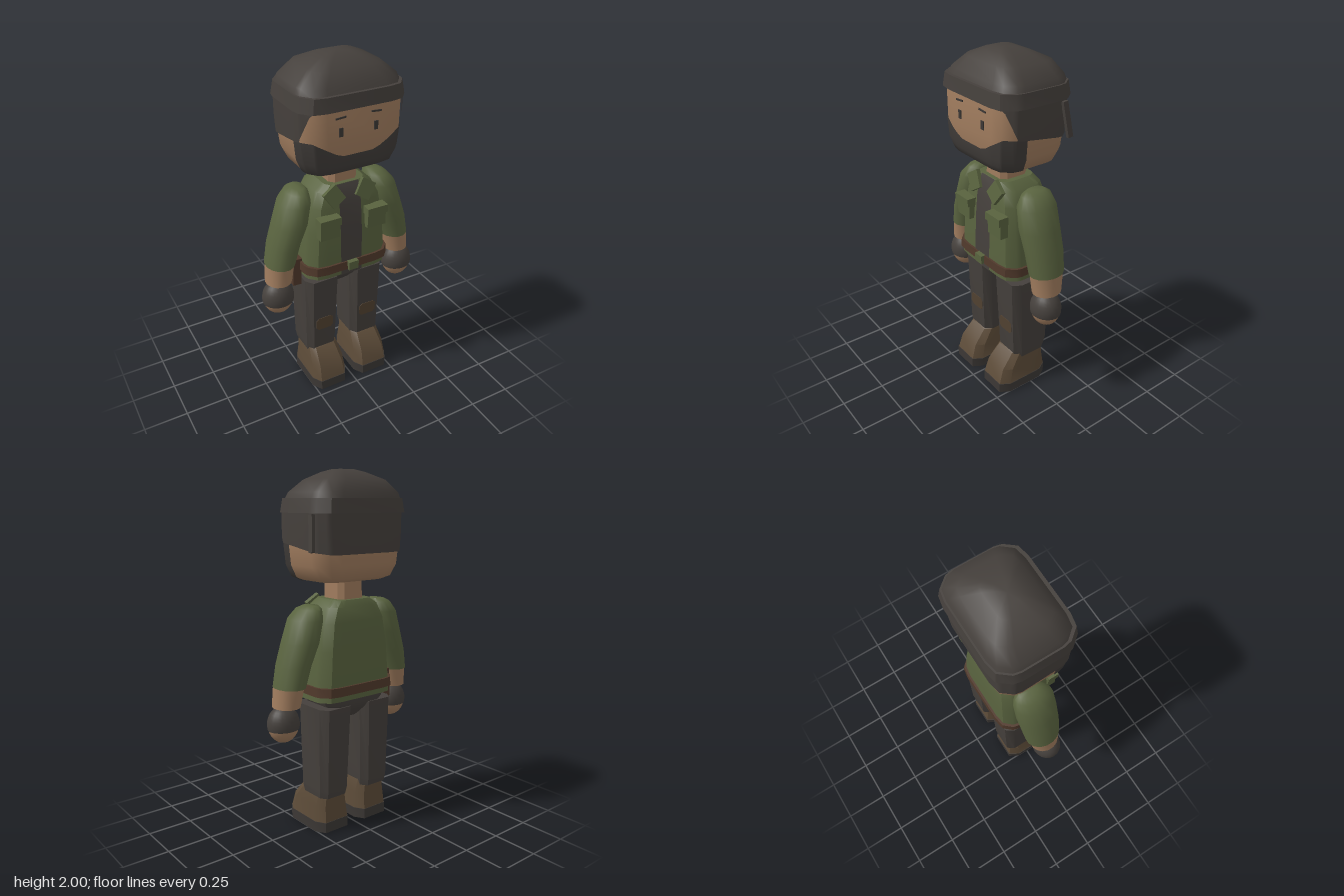
import * as THREE from 'three';
import { toCreasedNormals } from 'three/addons/utils/BufferGeometryUtils.js';

const mat = (name, color) => Object.assign(new THREE.MeshStandardMaterial({ color }), { name });
const M = {
  cloth: mat('charcoal cloth', 0x45403c),
  sole: mat('dark sole', 0x3c3835),
  beard: mat('beard', 0x403c39),
  skin: mat('skin', 0xa07c5e),
  green: mat('olive green', 0x59633f),
  boot: mat('boot brown', 0x5c4b38),
  belt: mat('belt brown', 0x50392b),
  patch: mat('patch brown', 0x524231),
};

// Quarter cross-sections, from the +x side round to the +z side
const SOFT = [[1, 0.5], [0.97, 0.68], [0.81, 0.94], [0.58, 1]];
const CHAMFER = [[1, 0.66], [0.7, 1]];
const ROUND = [11.25, 33.75, 56.25, 78.75].map((a) => [Math.cos(a * Math.PI / 180), Math.sin(a * Math.PI / 180)]);

// Point on the full section; t counts corners
function section(q, t) {
  const n = q.length, N = n * 4;
  const corner = (i) => {
    i = ((i % N) + N) % N;
    const k = Math.floor(i / n), j = i % n;
    const [x, z] = q[k % 2 ? n - 1 - j : j];
    return [k === 1 || k === 2 ? -x : x, k > 1 ? -z : z];
  };
  const i = Math.floor(t), f = t - i, a = corner(i), b = corner(i + 1);
  return [a[0] + (b[0] - a[0]) * f, a[1] + (b[1] - a[1]) * f];
}

// Surface from a point rule over two parameter lists
function grid(fn, us, vs, crease) {
  const pos = [], idx = [], w = vs.length;
  us.forEach((u) => vs.forEach((v) => pos.push(...fn(u, v))));
  for (let i = 0; i < us.length - 1; i++) {
    for (let j = 0; j < w - 1; j++) {
      const a = i * w + j, d = a + w;
      idx.push(a, a + 1, d + 1, a, d + 1, d);
    }
  }
  const g = new THREE.BufferGeometry();
  g.setAttribute('position', new THREE.Float32BufferAttribute(pos, 3));
  g.setIndex(idx);
  return toCreasedNormals(g, crease);
}

const range = (a, b, step) => Array.from({ length: Math.round((b - a) / step) + 1 }, (_, i) => a + i * step);

// Point on a ring [y, halfX, halfZ, centreX, centreZ]
function ringPoint(q, [y, hx, hz, cx = 0, cz = 0], t, off = 0, s = 1) {
  const [x, z] = section(q, t);
  return [cx + x * (hx + off) * s, y, cz + z * (hz + off) * s];
}

// Closed body through rings listed from bottom to top
function loft(rings, q, crease = 0.6) {
  const n = rings.length;
  return grid((t, v) => ringPoint(q, rings[Math.min(Math.max(v, 0), n - 1)], t, 0, v < 0 || v >= n ? 0 : 1),
    range(0, q.length * 4, 1), range(-1, n, 1), crease);
}

// Ring of a body at any height
function ringAt(rings, y) {
  let i = 0;
  while (i < rings.length - 2 && y > rings[i + 1][0]) i++;
  const a = rings[i], b = rings[i + 1];
  const f = Math.min(Math.max((y - a[0]) / (b[0] - a[0]), 0), 1);
  return [y, ...[1, 2, 3, 4].map((k) => a[k] + (b[k] - a[k]) * f)];
}

function add(parent, name, geo, material, x = 0, y = 0, z = 0) {
  const m = new THREE.Mesh(geo, material);
  m.name = name;
  m.position.set(x, y, z);
  parent.add(m);
  return m;
}
const box = (w, h, d) => new THREE.BoxGeometry(w, h, d);

function plate(points, depth) {
  const s = new THREE.Shape(points.map(([x, y]) => new THREE.Vector2(x, y)));
  return new THREE.ExtrudeGeometry(s, { depth, bevelEnabled: false });
}

const HEAD = [[1.415, 0.2, 0.145, 0, 0.01], [1.435, 0.25, 0.185, 0, 0.008], [1.5, 0.28, 0.205, 0, 0.006],
  [1.6, 0.292, 0.21, 0, 0.006], [1.77, 0.297, 0.211, 0, 0.004], [1.85, 0.285, 0.2, 0, 0]];
const TORSO = [[0.77, 0.255, 0.165, 0, -0.003], [0.86, 0.25, 0.163, 0, -0.003], [1.05, 0.235, 0.158, 0, -0.004],
  [1.2, 0.21, 0.146, 0, -0.006], [1.28, 0.17, 0.13, 0, -0.008], [1.315, 0.12, 0.112, 0, -0.006]];

function buildHead(root) {
  const head = new THREE.Group();
  head.name = 'head';
  root.add(head);
  add(head, 'face', loft(HEAD, SOFT, 1), M.skin);
  add(head, 'neck', loft([[1.27, 0.088, 0.088, 0, -0.005], [1.44, 0.085, 0.085, 0, -0.005]], CHAMFER), M.skin);

  // Beard wraps the jaw and dips below the mouth
  const beardTop = (x) => 1.53 + 0.09 * Math.min(Math.max((Math.abs(x) - 0.1) / 0.14, 0), 1);
  const heights = [1.411, 1.411, 1.435, 1.465, 1.5];
  add(head, 'beard', grid((t, v) => {
    const y = v < 5 ? heights[v] : beardTop(ringPoint(SOFT, ringAt(HEAD, 1.58), t)[0]);
    const p = ringPoint(SOFT, ringAt(HEAD, y), t, 0.005, v ? 1 : 0);
    p[2] = Math.max(p[2], 0.08);
    return p;
  }, [-0.12, ...range(0, 7, 0.125), 7.12], range(0, 5, 1), 1), M.beard);

  // Head wrap hangs from the cap round the sides and back
  const wrapLow = (z) => z > 0.14 ? 1.62 + 0.155 * Math.min((z - 0.14) / 0.055, 1) : 1.62 - 0.055 * (0.14 - z) / 0.35;
  add(head, 'headWrap', grid((t, v) => {
    const low = wrapLow(ringPoint(SOFT, ringAt(HEAD, 1.7), t)[2]);
    return ringPoint(SOFT, ringAt(HEAD, low + (1.785 - low) * v), t, 0.009);
  }, range(5, 18, 0.25), [0, 0.5, 1], 1), M.cloth);
  const tail = add(head, 'wrapTail', box(0.02, 0.19, 0.03), M.cloth, 0.317, 1.675, -0.145);
  tail.rotation.set(0.14, 0, 0.11);

  add(head, 'capBand', loft([[1.775, 0.31, 0.234], [1.85, 0.297, 0.225]], SOFT), M.cloth);
  add(head, 'capCrown', loft([[1.84, 0.292, 0.215, 0, -0.004], [1.88, 0.277, 0.2, 0, -0.008],
    [1.945, 0.2, 0.158, 0, -0.014], [1.985, 0.11, 0.085, 0, -0.005], [2, 0.055, 0.045, 0, 0]], SOFT, 0.8), M.cloth);

  for (const s of [1, -1]) {
    add(head, 'eye', box(0.022, 0.046, 0.006), M.sole, s * 0.1, 1.66, 0.217);
    add(head, 'eyebrow', box(0.058, 0.009, 0.006), M.sole, s * 0.1, 1.735, 0.217).rotation.z = -s * 0.08;
  }
}

function buildTorso(root) {
  const torso = new THREE.Group();
  torso.name = 'torso';
  root.add(torso);
  add(torso, 'jacket', loft(TORSO, SOFT), M.green);
  add(torso, 'shirt', grid((x, y) => [-x, y, ringPoint(SOFT, ringAt(TORSO, y), 3.5, 0.004)[2]],
    [-0.066, 0.066], TORSO.map((r) => r[0]), 0.6), M.cloth);
  add(torso, 'belt', loft([[0.803, 0.266, 0.178, 0, -0.003], [0.853, 0.263, 0.175, 0, -0.003]], SOFT), M.belt);
  add(torso, 'buckle', box(0.06, 0.05, 0.03), M.green, 0, 0.829, 0.178);
  add(torso, 'holster', box(0.05, 0.17, 0.11), M.belt, -0.28, 0.785, -0.01).rotation.z = -0.06;
  add(torso, 'hips', loft([[0.645, 0.03, 0.06, 0, -0.02], [0.7, 0.1, 0.11, 0, -0.02],
    [0.735, 0.2, 0.13, 0, -0.02], [0.79, 0.225, 0.14, 0, -0.015]], CHAMFER), M.cloth);
  for (const s of [1, -1]) {
    add(torso, 'pocket', box(0.115, 0.1, 0.05), M.green, s * 0.145, 1.09, 0.16);
    add(torso, 'pocketFlap', box(0.125, 0.045, 0.062), M.green, s * 0.145, 1.143, 0.167);
    const corners = [[0.03, 1.245], [0.105, 1.195], [0.16, 1.28], [0.085, 1.33]].map(([x, y]) => [s * x, y - 1.26]);
    add(torso, 'lapel', plate(corners, 0.024), M.green, 0, 1.26, 0.124).rotation.x = -0.2;
  }
}

function buildLimbs(root, s) {
  const side = s > 0 ? 'left' : 'right';
  const mirror = (rings) => rings.map(([y, hx, hz, cx, cz]) => [y, hx, hz, s * cx, cz]);

  // Arm
  const arm = new THREE.Group();
  arm.name = side + 'Arm';
  root.add(arm);
  add(arm, 'sleeve', loft(mirror([[0.86, 0.084, 0.104, 0.368, 0.002], [0.98, 0.09, 0.113, 0.34, 0],
    [1.1, 0.097, 0.119, 0.295, -0.002], [1.22, 0.088, 0.115, 0.264, -0.006],
    [1.275, 0.06, 0.088, 0.245, -0.015], [1.293, 0.035, 0.055, 0.235, -0.02]]), ROUND, 0.9), M.green);
  add(arm, 'forearm', loft(mirror([[0.75, 0.075, 0.085, 0.385, 0.01], [0.865, 0.08, 0.098, 0.37, 0.004]]), ROUND), M.skin);
  const split = 1.83;
  const glove = new THREE.SphereGeometry(1, 20, 10, 0, Math.PI * 2, 0, split);
  const fingers = new THREE.SphereGeometry(1, 20, 6, 0, Math.PI * 2, split, Math.PI - split);
  add(arm, 'glove', glove, M.cloth, s * 0.397, 0.65, 0.023).scale.set(0.093, 0.105, 0.083);
  add(arm, 'fingers', fingers, M.skin, s * 0.397, 0.65, 0.023).scale.set(0.089, 0.104, 0.08);

  // Leg
  const leg = new THREE.Group();
  leg.name = side + 'Leg';
  root.add(leg);
  add(leg, 'trouserLeg', loft(mirror([[0.205, 0.088, 0.11, 0.148, -0.018], [0.25, 0.095, 0.12, 0.148, -0.018],
    [0.73, 0.106, 0.137, 0.143, -0.017]]), CHAMFER), M.cloth);
  const knee = [[-0.055, -0.025], [-0.04, -0.042], [0.04, -0.042], [0.055, -0.025],
    [0.055, 0.025], [0.04, 0.042], [-0.04, 0.042], [-0.055, 0.025]];
  add(leg, 'kneePatch', plate(knee, 0.006), M.patch, s * 0.145, 0.417, 0.105).rotation.x = 0.035;

  // Boot
  add(leg, 'sole', loft(mirror([[0, 0.112, 0.168, 0.143, 0.043], [0.06, 0.113, 0.168, 0.143, 0.043]]), CHAMFER), M.sole);
  add(leg, 'boot', loft(mirror([[0.055, 0.111, 0.166, 0.143, 0.043], [0.15, 0.102, 0.146, 0.143, 0.034],
    [0.235, 0.088, 0.108, 0.143, -0.003], [0.255, 0.08, 0.09, 0.143, -0.015]]), CHAMFER), M.boot);
}

export function createModel() {
  const root = new THREE.Group();
  root.name = 'figure';
  buildHead(root);
  buildTorso(root);
  for (const s of [1, -1]) buildLimbs(root, s);
  return root;
}
